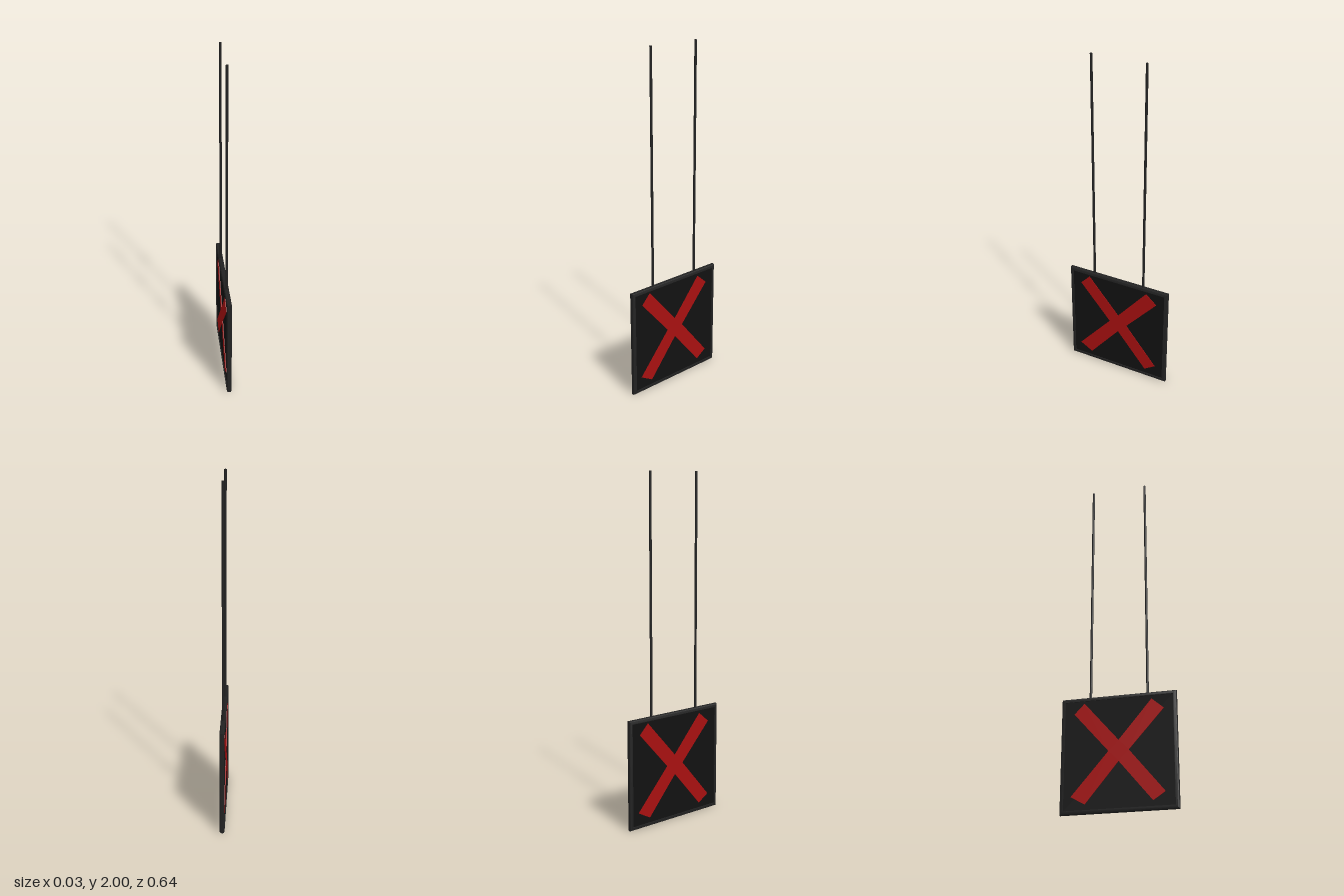
import * as THREE from 'three';
import { toCreasedNormals } from 'three/addons/utils/BufferGeometryUtils.js';

const HALF = 0.3225; // half the side of the square sign

export function createModel() {
  const root = new THREE.Group();
  root.name = 'hangingCrossSign';
  const frameMat = new THREE.MeshStandardMaterial({ color: 0x222222 });
  const panelMat = new THREE.MeshStandardMaterial({ color: 0x111111 });
  const crossMat = new THREE.MeshStandardMaterial({ color: 0xa81010 });

  const add = (name, geometry, material, x, y, z) => {
    const mesh = new THREE.Mesh(geometry, material);
    mesh.name = name;
    mesh.position.set(x, y, z);
    root.add(mesh);
    return mesh;
  };

  // Mitred square frame: a rounded profile turned in four segments
  const profile = [[HALF - 0.02, -0.0145]];
  for (const side of [-1, 1]) {
    for (let i = 0; i <= 4; i++) {
      const a = side * (side < 0 ? 1 - i / 4 : i / 4) * Math.PI / 2;
      profile.push([HALF - 0.01 + 0.01 * Math.cos(a), side * 0.0045 + 0.01 * Math.sin(a)]);
    }
  }
  profile.push([HALF - 0.02, 0.0145], [HALF - 0.02, -0.0145]);
  const points = profile.map(([r, h]) => new THREE.Vector2(r * Math.SQRT2, h));
  const frame = new THREE.LatheGeometry(points, 4, Math.PI / 4);
  frame.rotateZ(-Math.PI / 2);
  add('frame', toCreasedNormals(frame, 0.6), frameMat, 0, HALF, 0);

  // Recessed panel
  const inner = 2 * (HALF - 0.015);
  add('panel', new THREE.BoxGeometry(0.018, inner, inner), panelMat, 0, HALF, 0);

  // Slightly uneven diagonal cross, repeated on both faces
  const outline = [
    [-0.25, 0.553], [-0.193, 0.612], [0, 0.389], [0.184, 0.607],
    [0.251, 0.549], [0.056, 0.331], [0.251, 0.094], [0.184, 0.05],
    [0, 0.272], [-0.184, 0.05], [-0.262, 0.094], [-0.056, 0.331],
  ].reverse().map(([x, y]) => new THREE.Vector2(x, y));
  const cross = new THREE.ExtrudeGeometry(new THREE.Shape(outline), { depth: 0.004, bevelEnabled: false });
  for (const side of [1, -1]) {
    const mesh = add(side > 0 ? 'leftCross' : 'rightCross', cross, crossMat, side * 0.008, 0, 0);
    mesh.rotation.y = side * Math.PI / 2;
  }

  // Hanging rods
  for (const side of [1, -1]) {
    const rod = new THREE.CylinderGeometry(0.007, 0.007, 1.36, 16);
    add(side > 0 ? 'frontRod' : 'backRod', rod, frameMat, 0, 1.32, side * 0.161);
  }
  return root;
}
